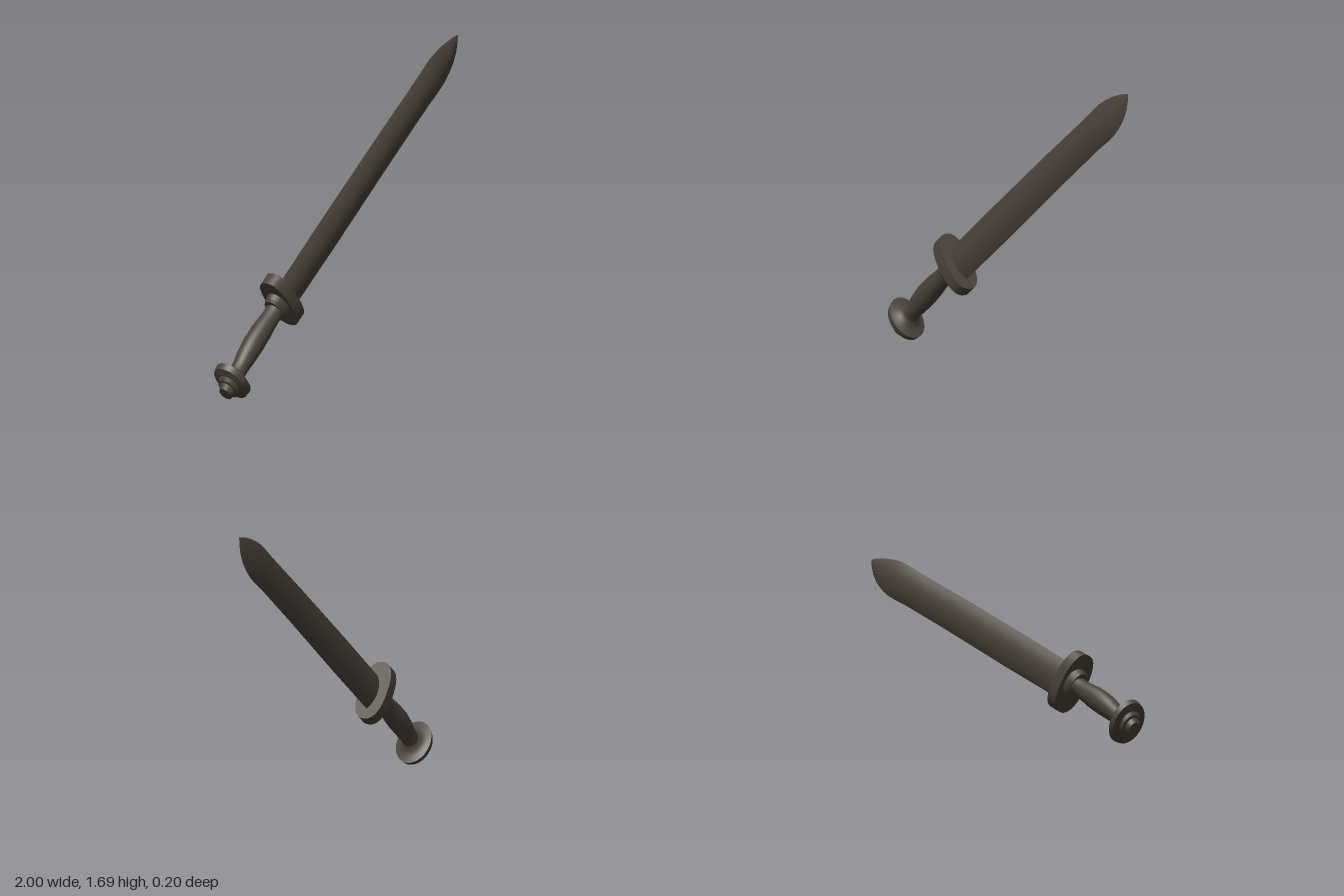
import * as THREE from 'three';

// Lofts cross-sections along x. Each station is [x, halfHeight, halfDepth, centreY].
// A repeated station makes a crease. section(u) gives a unit [y, z] for u in 0..1.
function loft(stations, section, sides, closed = true) {
  const pos = [], index = [];
  const cols = closed ? sides : sides + 1;
  for (const [x, h, d, c] of stations) {
    for (let j = 0; j < cols; j++) {
      const [y, z] = section(j / sides);
      pos.push(x, c + h * y, d * z);
    }
  }
  for (let i = 0; i < stations.length - 1; i++) {
    for (let j = 0; j < sides; j++) {
      const k = (j + 1) % cols;
      const a = i * cols + j, b = i * cols + k;
      index.push(a, b, b + cols, a, b + cols, a + cols);
    }
  }
  const g = new THREE.BufferGeometry();
  g.setAttribute('position', new THREE.Float32BufferAttribute(pos, 3));
  g.setIndex(index);
  g.computeVertexNormals();
  return g;
}

// Doubles every station so each band has hard edges
const creased = (list) => list.flatMap((s) => [s, s]);

// Rounded oval; a power above 2 squares it off
const oval = (power) => (u) => {
  const a = u * Math.PI * 2;
  const f = (v) => Math.sign(v) * Math.abs(v) ** (2 / power);
  return [f(Math.cos(a)), f(Math.sin(a))];
};

export function createModel() {
  const model = new THREE.Group();
  const sword = new THREE.Group();
  sword.name = 'sword';
  const steel = new THREE.MeshStandardMaterial({ color: 0x4a433a });
  steel.name = 'dark bronze';

  const add = (name, geometry) => {
    const mesh = new THREE.Mesh(geometry, steel);
    mesh.name = name;
    sword.add(mesh);
    return mesh;
  };

  // Blade: two curved faces meeting at sharp edges
  const bladeStations = [
    [0.0, 0.098, 0.031, -0.014],
    [0.5, 0.101, 0.031, -0.014],
    [1.1, 0.098, 0.031, -0.014],
    [1.5, 0.096, 0.031, -0.018],
    [1.6, 0.099, 0.03, -0.02],
    [1.66, 0.099, 0.028, -0.02],
    [1.72, 0.091, 0.024, -0.02],
    [1.79, 0.073, 0.018, -0.019],
    [1.85, 0.047, 0.012, -0.014],
    [1.89, 0.022, 0.006, -0.006],
    [1.916, 0, 0, 0.001],
  ];
  for (const side of [0, 1]) {
    const face = (u) => {
      const a = (u + side) * Math.PI;
      return [Math.cos(a), Math.sin(a) * Math.abs(Math.sin(a))];
    };
    add(side ? 'bladeBack' : 'bladeFront', loft(bladeStations, face, 16, false));
  }

  // Guard: thick oval plate
  add('guard', loft(creased([
    [-0.036, 0, 0, 0],
    [-0.036, 0.171, 0.086, 0],
    [0.036, 0.171, 0.086, 0],
    [0.036, 0, 0, 0],
  ]), oval(2.4), 40));

  // Collar between guard and grip
  add('collar', loft(creased([
    [-0.085, 0, 0, -0.003],
    [-0.085, 0.076, 0.056, -0.003],
    [-0.07, 0.086, 0.063, -0.003],
    [-0.036, 0.09, 0.066, -0.003],
  ]), oval(2), 32));

  // Grip: swells in the middle and bends slightly toward the pommel
  add('grip', loft([
    [-0.55, 0.06, 0.056, -0.03],
    [-0.52, 0.046, 0.046, -0.027],
    [-0.47, 0.047, 0.047, -0.022],
    [-0.4, 0.057, 0.053, -0.014],
    [-0.32, 0.063, 0.057, -0.008],
    [-0.24, 0.061, 0.056, -0.005],
    [-0.17, 0.054, 0.052, -0.003],
    [-0.11, 0.05, 0.05, -0.003],
    [-0.07, 0.055, 0.052, -0.003],
  ], oval(2), 28));

  // Pommel: stepped knob below a wide disc that flares into the grip
  add('pommel', loft([
    ...creased([
      [-0.652, 0, 0, -0.041],
      [-0.652, 0.041, 0.036, -0.041],
      [-0.622, 0.053, 0.046, -0.037],
      [-0.618, 0.068, 0.058, -0.036],
      [-0.598, 0.078, 0.066, -0.032],
      [-0.585, 0.118, 0.096, -0.028],
      [-0.552, 0.125, 0.101, -0.026],
    ]),
    [-0.545, 0.09, 0.078, -0.027],
    [-0.532, 0.062, 0.058, -0.027],
    [-0.51, 0.046, 0.046, -0.027],
  ], oval(2), 32));

  // Tilt the sword so it rests on its pommel
  sword.rotation.z = THREE.MathUtils.degToRad(39);
  sword.position.set(-0.49, 0.488, 0);
  model.add(sword);
  return model;
}
